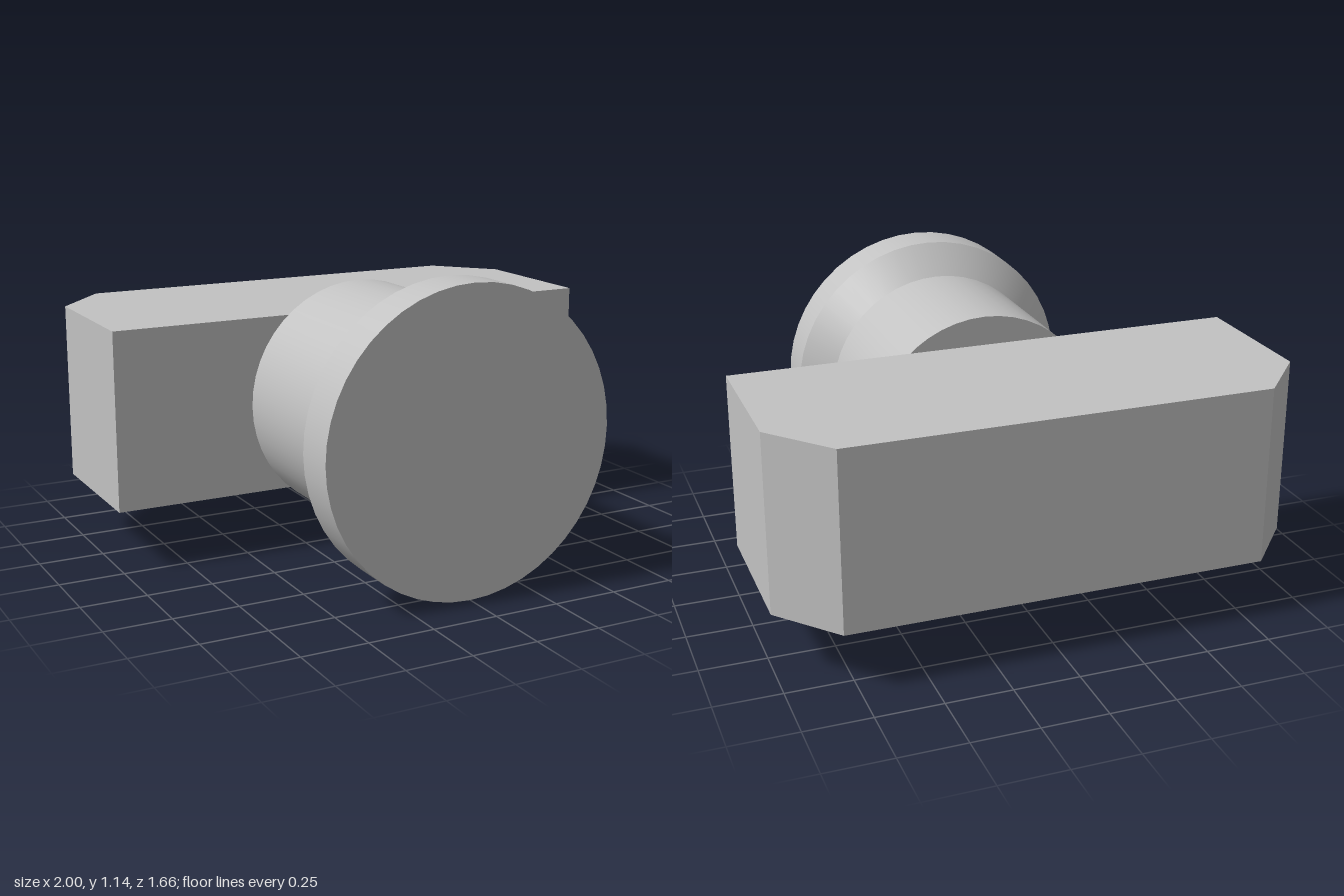
import * as THREE from 'three';

const AXIS_Y = 0.571;

export function createModel() {
  const model = new THREE.Group();
  model.name = 'chamferedBarBolt';
  const grey = new THREE.MeshStandardMaterial({ color: 0xc2c2c2 });
  grey.name = 'plain grey';

  function add(name, geometry) {
    const mesh = new THREE.Mesh(geometry, grey);
    mesh.name = name;
    model.add(mesh);
    return mesh;
  }

  // Cross bar with its two rear corners cut off; the outline's y is -z
  const outline = new THREE.Shape([
    [-1, 0.03], [1, 0.03], [1, 0.6], [0.8, 0.828], [-0.8, 0.828], [-1, 0.6],
  ].map(([x, y]) => new THREE.Vector2(x, y)));
  const bar = new THREE.ExtrudeGeometry(outline, { depth: 0.685, bevelEnabled: false });
  bar.rotateX(-Math.PI / 2);
  add('crossBar', bar).position.y = 0.229;

  // Round sections along z, from back to front
  function round(name, rBack, rFront, zBack, zFront, open) {
    const g = new THREE.CylinderGeometry(rFront, rBack, zFront - zBack, 48, 1, open);
    g.rotateX(Math.PI / 2);
    add(name, g).position.set(0, AXIS_Y, (zBack + zFront) / 2);
  }
  round('shank', 0.456, 0.456, -0.03, 0.543, false);
  round('headTaper', 0.456, AXIS_Y, 0.543, 0.657, true);
  round('head', AXIS_Y, AXIS_Y, 0.657, 0.828, false);

  return model;
}
